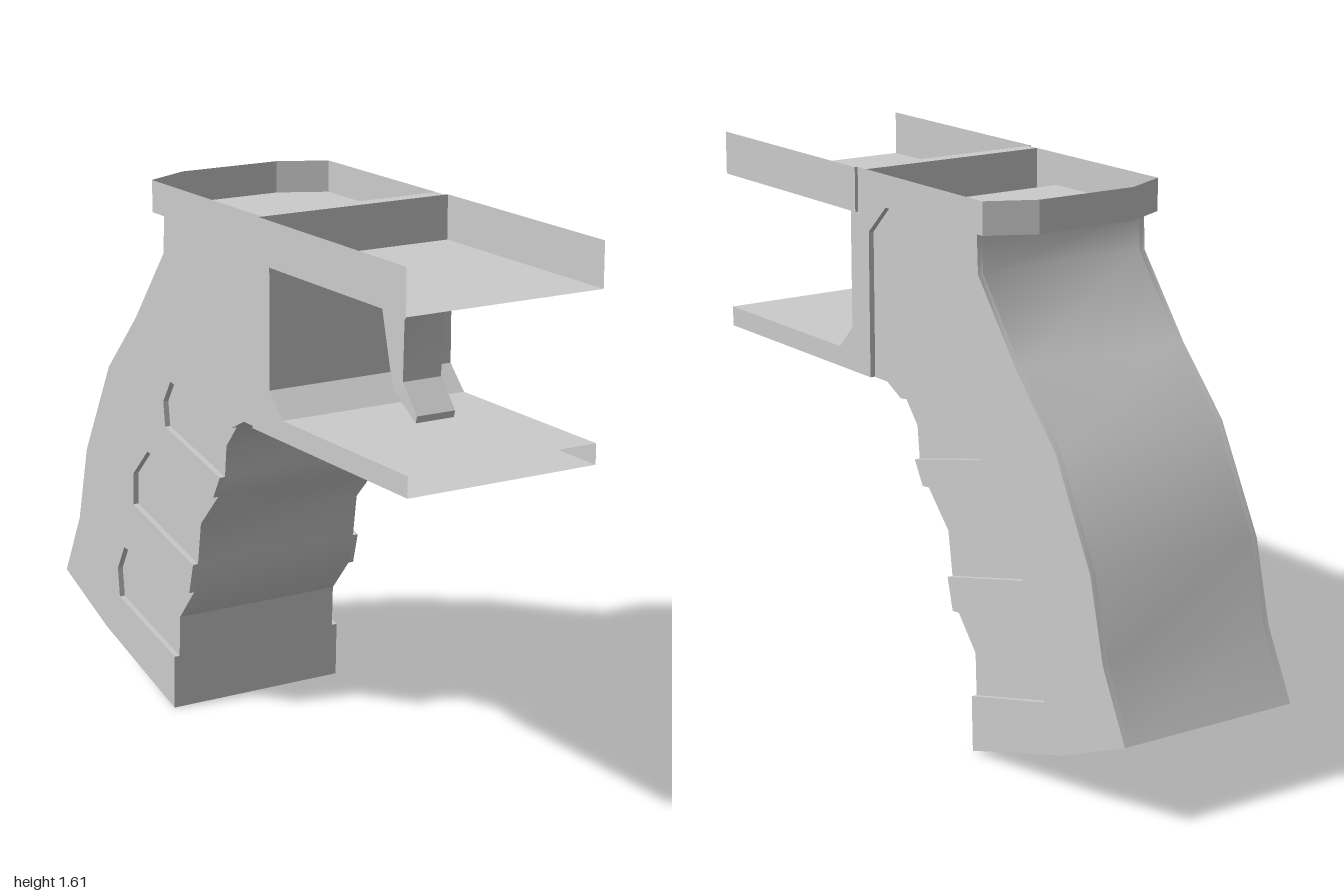
import * as THREE from 'three';
import { toCreasedNormals } from 'three/addons/utils/BufferGeometryUtils.js';

const solidMat = new THREE.MeshStandardMaterial({ color: 0xcccccc });
const sheetMat = new THREE.MeshStandardMaterial({ color: 0xcccccc, side: THREE.DoubleSide });

// All side profiles are lists of [z, y].
const toShape = (pts) => new THREE.Shape(pts.map(([z, y]) => new THREE.Vector2(z, y)));

function named(name, geometry, material) {
  const mesh = new THREE.Mesh(geometry, material);
  mesh.name = name;
  return mesh;
}

// Solid side profile extruded across x, from x0 to x1
function slab(name, pts, x0, x1) {
  const g = new THREE.ExtrudeGeometry(toShape(pts), { depth: x1 - x0, bevelEnabled: false });
  g.rotateY(-Math.PI / 2).translate(x1, 0, 0);
  return named(name, toCreasedNormals(g, 0.62), solidMat);
}

// Flat thin plate in the side plane at x
function plate(name, pts, x) {
  const g = new THREE.ShapeGeometry(toShape(pts)).rotateY(-Math.PI / 2).translate(x, 0, 0);
  return named(name, g, sheetMat);
}

// Thin sheet joining two matching rows of points, one quad per step
function sheet(name, rowA, rowB) {
  const pos = [];
  for (let i = 0; i < rowA.length - 1; i++) {
    const [a, b, c, d] = [rowA[i], rowA[i + 1], rowB[i + 1], rowB[i]];
    pos.push(...a, ...b, ...c, ...a, ...c, ...d);
  }
  const g = new THREE.BufferGeometry();
  g.setAttribute('position', new THREE.Float32BufferAttribute(pos, 3));
  g.computeVertexNormals();
  return named(name, g, sheetMat);
}

// Folded sheet following a side profile across the full width
const folded = (name, pts, half) =>
  sheet(name, pts.map(([z, y]) => [-half, y, z]), pts.map(([z, y]) => [half, y, z]));

export function createModel() {
  const model = new THREE.Group();
  const W = 0.3, TRAY = 0.31, GRIP = 0.287, CORE = 0.27;
  const TOP = 1.61, DECK = 1.48, LEDGE = 1.515;

  // Grip: finger side from bottom to top, then top and curved back
  const grooves = [
    { low: [-0.285, 0.165], mid: [[-0.28, 0.29]], high: [-0.19, 0.395],
      pocket: [[-0.635, 0.255], [-0.645, 0.345], [-0.6, 0.425]] },
    { low: [-0.165, 0.49], mid: [[-0.145, 0.62]], high: [-0.04, 0.73],
      pocket: [[-0.535, 0.58], [-0.53, 0.68], [-0.44, 0.77]] },
    { low: [0, 0.8], mid: [[0.01, 0.895]], high: [0.07, 0.965],
      pocket: [[-0.325, 0.875], [-0.335, 0.95], [-0.29, 1.02]] },
  ];
  const rest = [
    [0.14, 1], [0.205, 1], [0.205, 1.43], [0.12, 1.512], [-0.315, 1.512],
    [-0.32, 1.4], [-0.5, 1.17], [-0.68, 0.98], [-0.84, 0.68], [-0.9, 0.44],
    [-1, 0.24], [-0.73, 0.13], [-0.29, 0],
  ];
  const outline = (key) => [...grooves.flatMap((g) => [g.low, ...g[key], g.high]), ...rest];

  const grip = new THREE.Group();
  grip.name = 'grip';
  grip.add(slab('gripCore', outline('mid'), -CORE, CORE));
  // Side panels with the finger pockets cut out
  grip.add(slab('leftGripPanel', outline('pocket'), CORE, GRIP));
  grip.add(slab('rightGripPanel', outline('pocket'), -GRIP, -CORE));
  model.add(grip);

  // Frame: thin side plates, folded sheets between them
  const frame = new THREE.Group();
  frame.name = 'frame';
  const guard = [[1, 1.06], [0.375, 1.06], [0.305, 1.13], [0.305, DECK]];
  const side = [
    [1, 1], ...guard, [0.265, DECK], [0.265, TOP], [-0.36, TOP],
    [-0.36, LEDGE], [0.12, LEDGE], [0.21, 1.43], [0.21, 1],
  ];
  for (const s of [-1, 1]) {
    const label = s > 0 ? 'left' : 'right';
    frame.add(plate(label + 'FramePlate', side, s * W));
    frame.add(plate(label + 'TrayWall',
      [[0.265, DECK], [1, DECK], [1, TOP], [0.265, TOP]], s * TRAY));
  }
  frame.add(folded('guardTop', guard, W));
  frame.add(folded('guardBottom', [[1, 1], [0.22, 1], [0.22, TOP], [0.265, TOP]], W));
  frame.add(folded('frontTray', [[1, DECK], [0.265, DECK], [0.265, TOP]], TRAY));
  frame.add(folded('rearDeck', [[0.21, 1], [0.21, 1.43], [0.12, LEDGE], [-0.36, LEDGE]], W));

  // Tapered tail: floor and rim
  const tail = [[-W, -0.36], [-0.16, -0.43], [0.16, -0.43], [W, -0.36]];
  const row = (y) => tail.map(([x, z]) => [x, y, z]);
  frame.add(sheet('tailRim', row(LEDGE), row(TOP)));
  frame.add(sheet('tailFloor', row(LEDGE), tail.map(([x]) => [x, LEDGE, -0.36])));
  model.add(frame);

  // Trigger
  model.add(slab('trigger', [
    [0.68, DECK], [0.615, 1.36], [0.61, 1.19], [0.68, 1.11], [0.675, 1.09],
    [0.56, 1.16], [0.505, 1.37], [0.5, DECK],
  ], -0.062, 0.062));

  return model;
}
